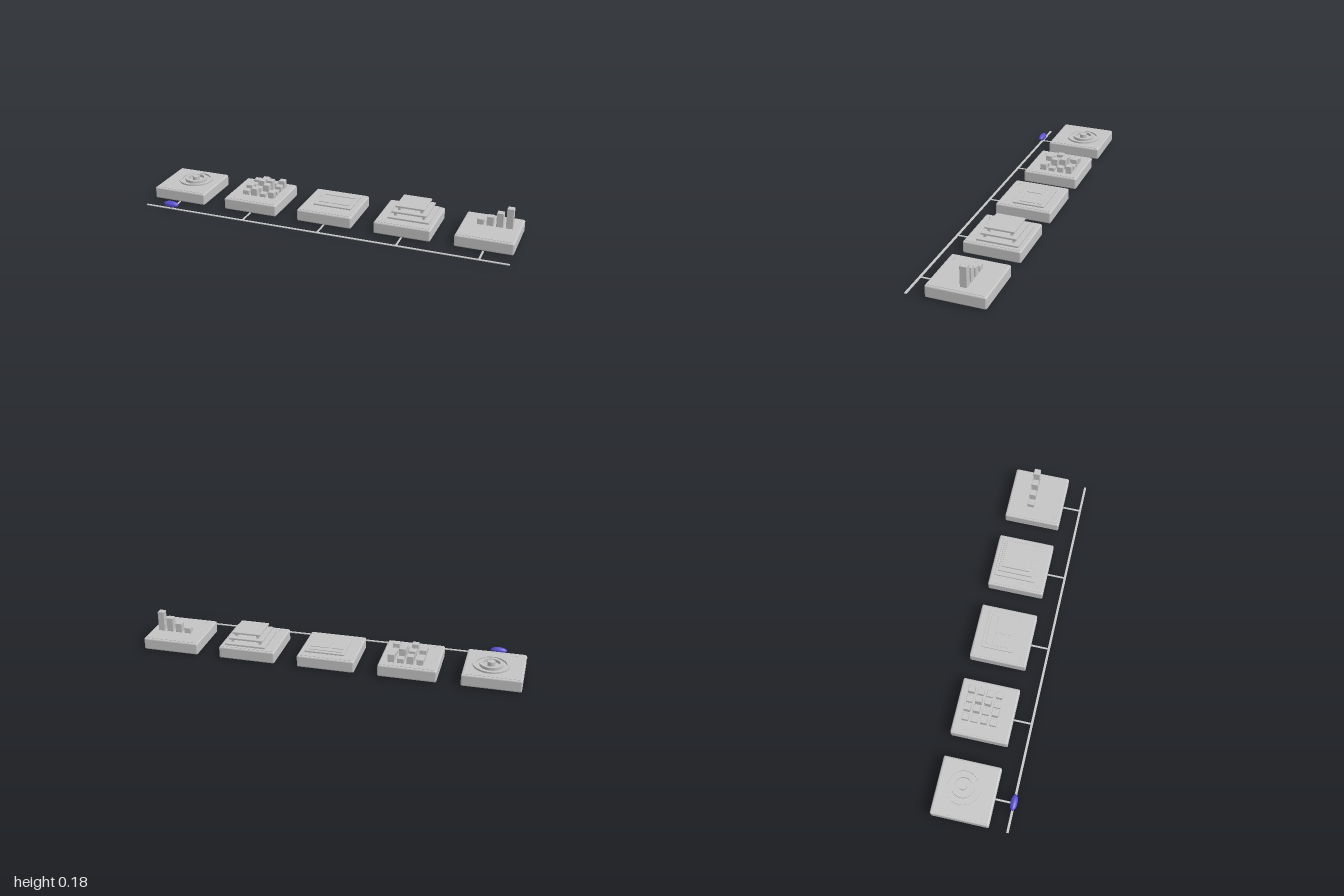
import * as THREE from 'three';
import { RoundedBoxGeometry } from 'three/addons/geometries/RoundedBoxGeometry.js';

export function createModel() {
  const root = new THREE.Group();
  const grey = new THREE.MeshStandardMaterial({ color: 0xc4c4c4 });
  grey.name = 'light grey';
  const violet = new THREE.MeshStandardMaterial({ color: 0x5a4fcf });
  violet.name = 'violet';

  const PITCH = 0.424, TILE = 0.303, TILE_Z = -0.056, TOP = 0.07;

  function add(parent, name, geometry, x, y, z, material = grey) {
    const mesh = new THREE.Mesh(geometry, material);
    mesh.name = name;
    mesh.position.set(x, y, z);
    parent.add(mesh);
    return mesh;
  }
  // Box standing on height y
  function box(parent, name, w, h, d, x, y, z) {
    const r = Math.min(0.002, h / 4);
    return add(parent, name, new RoundedBoxGeometry(w, h, d, 1, r), x, y + h / 2, z);
  }
  // Flat raised ring standing on the tile
  function ring(parent, name, outer, inner, h) {
    const points = [[inner, 0], [outer, 0], [outer, h], [inner, h], [inner, 0]]
      .map(([x, y]) => new THREE.Vector2(x, y));
    // split each profile edge so the corners stay sharp
    for (let i = 0; i < 4; i++) {
      add(parent, name, new THREE.LatheGeometry([points[i], points[i + 1]], 48), 0, 0, 0);
    }
  }

  // Five tiles; each motif group sits slightly right of and behind the tile centre
  const motifs = [];
  for (let i = 0; i < 5; i++) {
    const x = (i - 2) * PITCH;
    const tile = new THREE.Group();
    tile.name = 'tile';
    tile.position.set(x, 0, TILE_Z);
    root.add(tile);
    add(tile, 'tileBase', new RoundedBoxGeometry(TILE, 0.065, TILE, 3, 0.009), 0, 0.0355, 0);
    box(tile, 'tileTopPlate', 0.285, 0.004, 0.285, 0, TOP - 0.004, 0);
    for (const dx of [-0.116, -0.1]) {
      box(tile, 'cornerMark', 0.009, 0.002, 0.014, dx, TOP - 0.0005, 0.116);
    }
    // link from the tile to the rail
    box(root, 'railLink', 0.01, 0.004, 0.1, x, 0.0005, 0.142);

    const motif = new THREE.Group();
    motif.name = ['ringMotif', 'blockMotif', 'panelMotif', 'terraceMotif', 'chartMotif'][i];
    motif.position.set(0.0155, TOP, -0.018);
    tile.add(motif);
    motifs.push(motif);
  }
  const [rings, blocks, panels, terrace, chart] = motifs;

  // Concentric rings around a hub
  ring(rings, 'outerRing', 0.094, 0.079, 0.009);
  ring(rings, 'innerRing', 0.06, 0.044, 0.015);
  add(rings, 'hub', new THREE.CylinderGeometry(0.02, 0.02, 0.024, 32), 0, 0.012, 0);

  // Four by four field of blocks, rows from back to front
  const heights = [
    [0.030, 0.043, 0.025, 0.043],
    [0.022, 0.050, 0.057, 0.030],
    [0.037, 0.027, 0.050, 0.020],
    [0.025, 0.042, 0.020, 0.035],
  ];
  heights.forEach((row, r) => row.forEach((h, c) => {
    box(blocks, 'block', 0.035, h, 0.035, (c - 1.5) * 0.0495, 0, (r - 1.5) * 0.049);
  }));

  // Framed screen with a header strip and two panes
  box(panels, 'screenPlate', 0.209, 0.009, 0.172, 0, 0, 0);
  box(panels, 'headerStrip', 0.172, 0.004, 0.024, 0, 0.0085, -0.055);
  box(panels, 'sidePane', 0.06, 0.004, 0.085, -0.056, 0.0085, 0.012);
  box(panels, 'mainPane', 0.1, 0.004, 0.085, 0.036, 0.0085, 0.012);

  // Three stacked decks on corner posts
  [[0.22, 0], [0.186, 0.027], [0.154, 0.054]].forEach(([size, y], i) => {
    box(terrace, 'deck', size, 0.0105, size, 0, y, 0);
    if (i === 0) return;
    const p = size / 2 - 0.018;
    for (const sx of [-1, 1]) for (const sz of [-1, 1]) {
      box(terrace, 'post', 0.014, 0.018, 0.014, sx * p, y - 0.0175, sz * p);
    }
  });

  // Rising bars
  [0.03, 0.05, 0.077, 0.108].forEach((h, i) => {
    box(chart, 'bar', 0.035, h, 0.035, 0.004 + (i - 1.5) * 0.0495, 0, -0.006);
  });

  // Front rail and the marker resting on it
  box(root, 'rail', 2, 0.005, 0.013, 0, 0, 0.191);
  add(root, 'markerFoot', new THREE.CylinderGeometry(0.0075, 0.0075, 0.009, 20), -2 * PITCH, 0.0065, 0.191);
  const marker = add(root, 'marker', new THREE.SphereGeometry(0.018, 32, 20), -2 * PITCH, 0.028, 0.191, violet);
  marker.scale.x = 2.4;

  return root;
}
